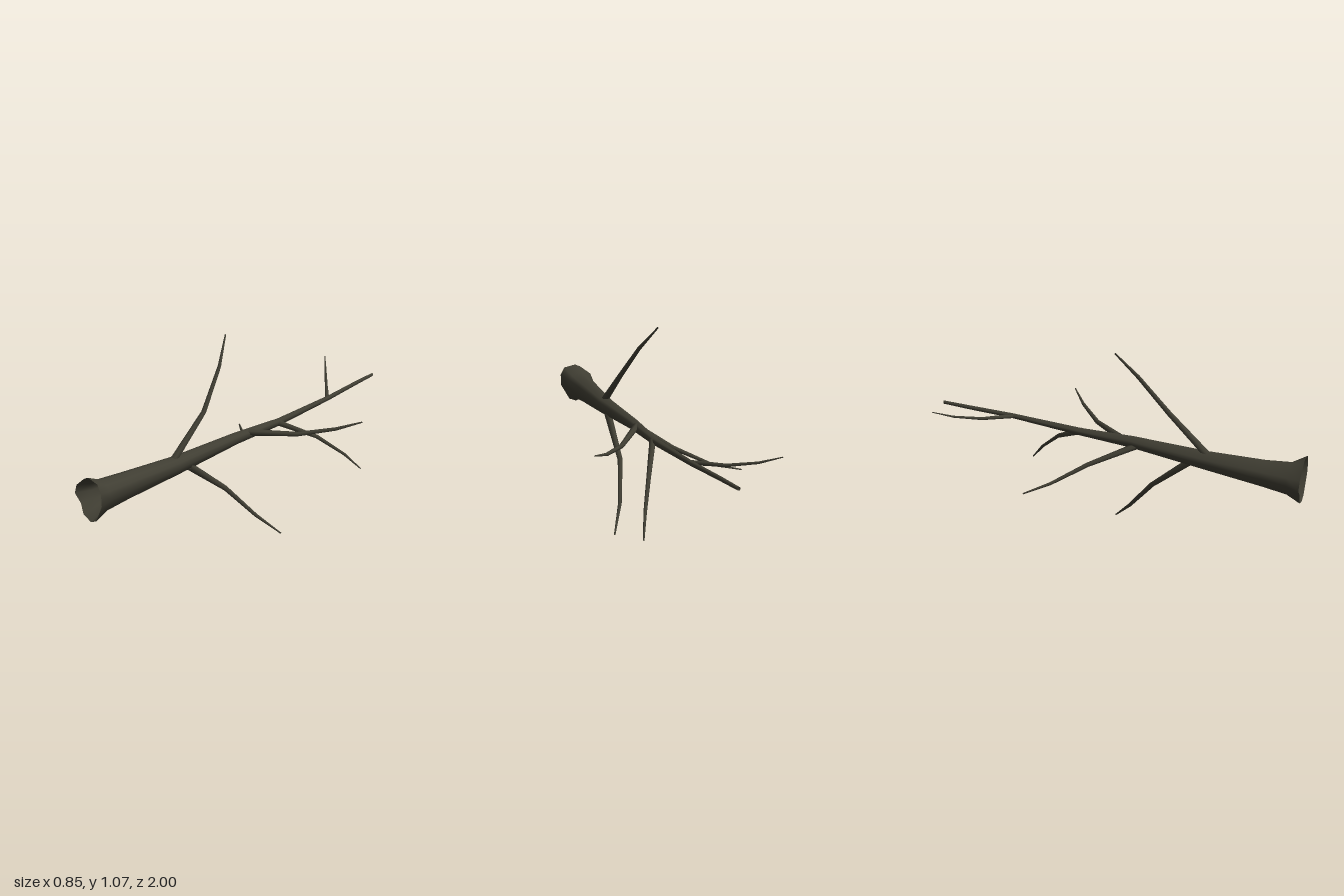
import * as THREE from 'three';

// Skin a series of equal-length closed rings, smooth shaded
function loft(rings, material, name) {
  const n = rings[0].length, index = [];
  for (let i = 0; i < rings.length - 1; i++) {
    for (let j = 0; j < n; j++) {
      const a = i * n + j, b = i * n + (j + 1) % n;
      index.push(a, a + n, b, b, a + n, b + n);
    }
  }
  const geo = new THREE.BufferGeometry().setFromPoints(rings.flat());
  geo.setIndex(index);
  geo.computeVertexNormals();
  const mesh = new THREE.Mesh(geo, material);
  mesh.name = name;
  return mesh;
}

// Tapered limb whose rings stand square to the path
function limb(path, radii, material, name, sides = 6) {
  const pts = path.map(p => new THREE.Vector3(...p));
  const ref = new THREE.Vector3(0.3, 0.2, 1).normalize();
  const rings = pts.map((p, i) => {
    const t = pts[Math.min(i + 1, pts.length - 1)].clone().sub(pts[Math.max(i - 1, 0)]).normalize();
    const u = t.clone().cross(ref).normalize();
    const v = u.clone().cross(t);
    return Array.from({ length: sides }, (_, j) => {
      const a = j / sides * Math.PI * 2;
      return p.clone().addScaledVector(u, Math.cos(a) * radii[i]).addScaledVector(v, Math.sin(a) * radii[i]);
    });
  });
  return loft(rings, material, name);
}

export function createModel() {
  const group = new THREE.Group();
  group.name = 'fallenTree';
  const bark = new THREE.MeshStandardMaterial({ color: 0x403e33, side: THREE.DoubleSide });
  bark.name = 'dark bark';

  // Irregular root flare outline, counter-clockwise from the right
  const base = [[0.057, 0.505], [0.057, 0.568], [0.034, 0.61], [-0.037, 0.62], [-0.07, 0.603],
    [-0.134, 0.55], [-0.153, 0.5], [-0.108, 0.463], [-0.094, 0.41], [-0.037, 0.39], [0.006, 0.41]];

  // Trunk stations: x, y, z, radius, share of the root outline
  const stations = [
    [-0.045, 0.505, 1, 0.1, 1], [-0.04, 0.507, 0.93, 0.077, 0.3], [-0.034, 0.512, 0.8, 0.067, 0],
    [-0.018, 0.523, 0.5, 0.048, 0], [-0.002, 0.552, 0.1, 0.031, 0], [0.01, 0.558, -0.2, 0.02, 0],
    [0.012, 0.588, -0.6, 0.013, 0], [-0.004, 0.605, -0.85, 0.011, 0], [-0.01, 0.615, -1, 0.009, 0]];
  const rings = stations.map(([x, y, z, r, flare]) => base.map(([bx, by]) => {
    const dx = bx + 0.045, dy = by - 0.505, d = Math.hypot(dx, dy);
    const k = THREE.MathUtils.lerp(r / d, r / 0.1, flare);
    return new THREE.Vector3(x + dx * k, y + dy * k, z);
  }));
  group.add(loft(rings, bark, 'trunk'));

  // Branches: path from inside the trunk to the tip, and thickness
  const branches = [
    ['upperBranch', 0.02, [[-0.018, 0.55, 0.51], [-0.02, 0.75, 0.3], [-0.065, 0.94, 0.15], [-0.125, 1.07, 0.05]]],
    ['lowerBranch', 0.02, [[0, 0.5, 0.42], [0.025, 0.31, 0.2], [0.095, 0.125, 0.05], [0.175, 0.005, -0.06]]],
    ['rightLowBranch', 0.018, [[-0.01, 0.54, 0.13], [-0.15, 0.455, -0.09], [-0.3, 0.39, -0.235], [-0.425, 0.375, -0.33]]],
    ['leftBranch', 0.018, [[0.01, 0.565, 0.02], [0.18, 0.55, -0.17], [0.32, 0.58, -0.31], [0.42, 0.622, -0.4]]],
    ['leftLowBranch', 0.017, [[0.018, 0.56, -0.19], [0.13, 0.455, -0.38], [0.213, 0.335, -0.515], [0.26, 0.237, -0.6]]],
    ['rightTopBranch', 0.012, [[0.008, 0.588, -0.59], [-0.11, 0.6, -0.715], [-0.215, 0.636, -0.825], [-0.293, 0.68, -0.905]]]];
  for (const [name, r, path] of branches) {
    group.add(limb(path, [r, r * 0.68, r * 0.5, r * 0.2], bark, name));
  }
  return group;
}
